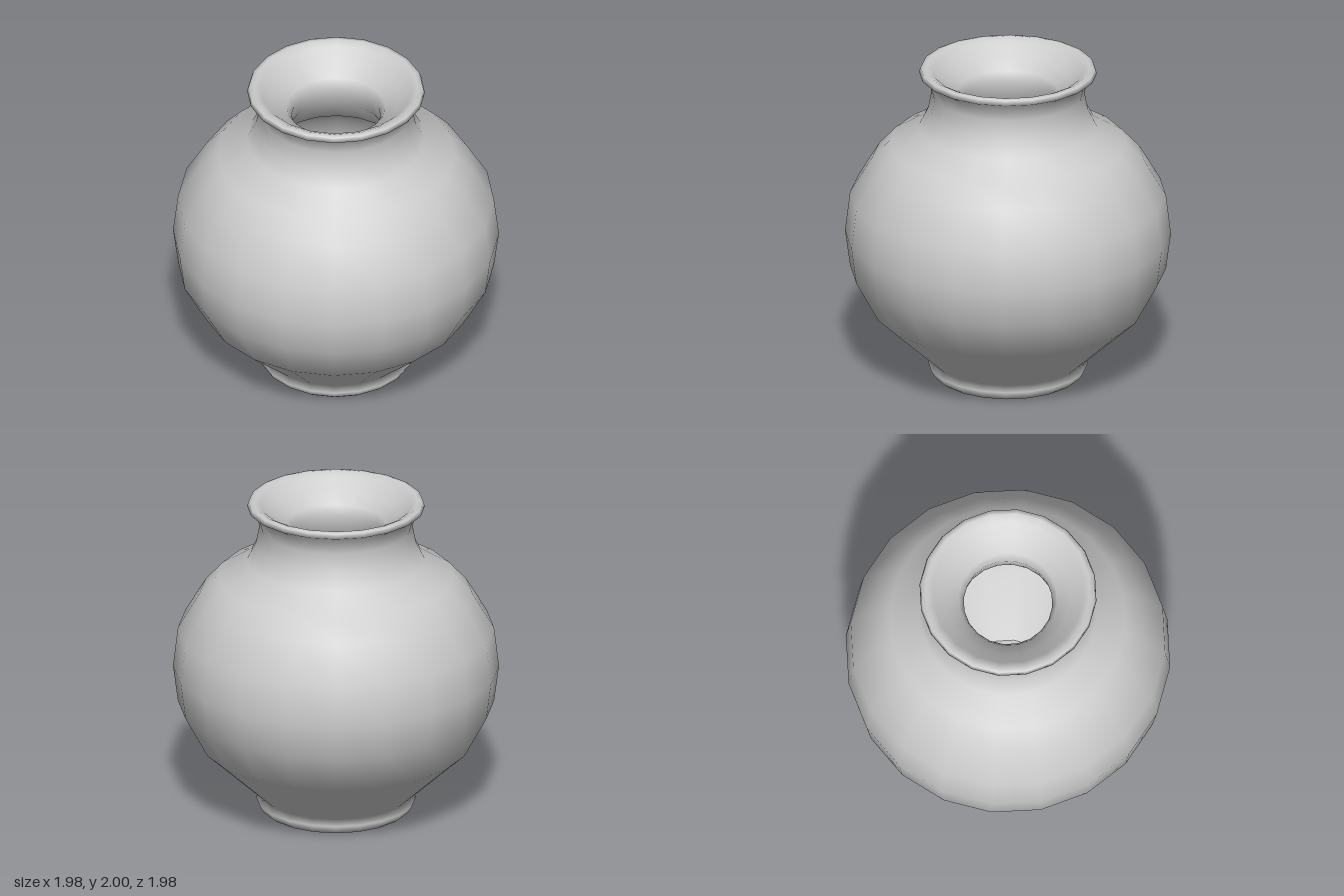
import * as THREE from 'three';

const SIDES = 20;
const material = new THREE.MeshStandardMaterial({ color: 0xcccccc });

// Turns a [radius, height] profile around the y axis
function turned(name, profile) {
  const points = profile.map(([r, y]) => new THREE.Vector2(r, y));
  const mesh = new THREE.Mesh(new THREE.LatheGeometry(points, SIDES), material);
  mesh.name = name;
  return mesh;
}

// Flat round disc at height y, facing up (+1) or down (-1)
function disc(name, radius, y, facing) {
  const geometry = new THREE.CircleGeometry(radius, SIDES);
  geometry.rotateX(-facing * Math.PI / 2).translate(0, y, 0);
  const mesh = new THREE.Mesh(geometry, material);
  mesh.name = name;
  return mesh;
}

export function createModel() {
  const jar = new THREE.Group();
  jar.name = 'jar';

  // Thick wall: foot ring, round belly, neck, flared lip, then down the inside
  jar.add(turned('wall', [
    [0.44, 0], [0.465, 0.02], [0.485, 0.06], [0.465, 0.1],
    [0.82, 0.43], [0.96, 0.69], [0.99, 0.92], [0.96, 1.17],
    [0.83, 1.39], [0.72, 1.51], [0.54, 1.62],
    [0.485, 1.73], [0.465, 1.84], [0.49, 1.935],
    [0.54, 1.965], [0.53, 1.995], [0.5, 2], [0.46, 1.98],
    [0.38, 1.91], [0.3, 1.85], [0.27, 1.79], [0.29, 1.67],
    [0.4, 1.5], [0.6, 1.36], [0.69, 1.26], [0.77, 1.1],
    [0.79, 0.92], [0.77, 0.75], [0.66, 0.55], [0.33, 0.22],
  ]));

  // Closed underside and inner floor
  jar.add(disc('base', 0.44, 0, -1));
  jar.add(disc('floor', 0.33, 0.22, 1));
  return jar;
}
